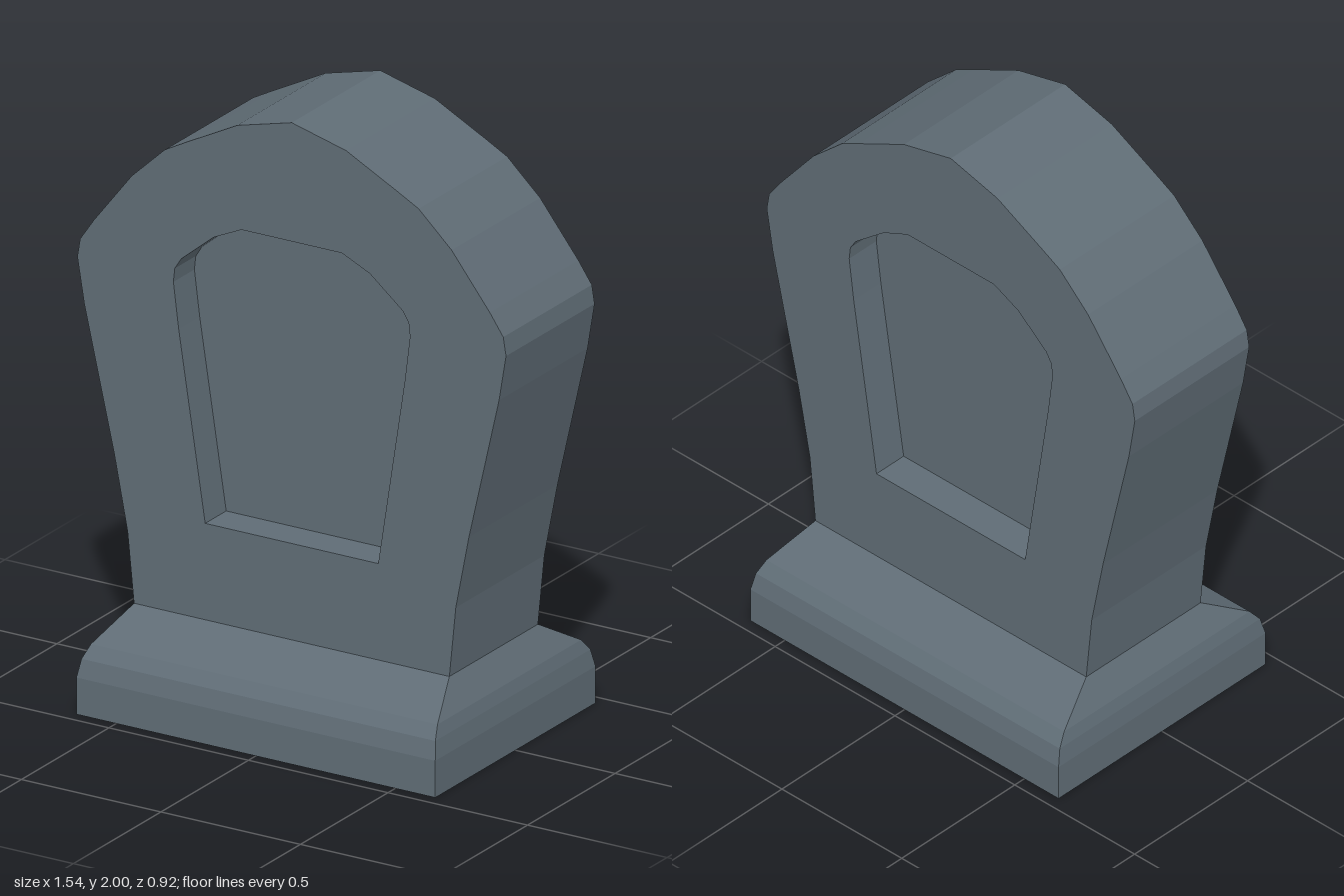
import * as THREE from 'three';

const material = new THREE.MeshStandardMaterial({ color: 0x5f6c75, flatShading: true });

// Right half of each outline, bottom to top; mirrored across x = 0
const SLAB = [[0.565, 0.31], [0.588, 0.54], [0.635, 0.78], [0.743, 1.25], [0.768, 1.4], [0.758, 1.46],
  [0.71, 1.53], [0.573, 1.705], [0.455, 1.815], [0.38, 1.855], [0.195, 1.95], [0, 2]];
const RECESS = [[0.31, 0.625], [0.405, 1.24], [0.424, 1.39], [0.419, 1.435], [0.397, 1.47],
  [0.28, 1.566], [0.18, 1.612]];
// Plinth rings: half width, height, half depth
const PLINTH = [[0.643, 0, 0.458], [0.643, 0.12, 0.458], [0.634, 0.178, 0.443],
  [0.621, 0.218, 0.41], [0.565, 0.31, 0.253]];
const HALF_DEPTH = 0.253;
const RECESS_DEPTH = 0.12;

function mirrored(half) {
  const left = half.filter(([x]) => x > 0).reverse().map(([x, y]) => [-x, y]);
  return [...half, ...left].map(([x, y]) => new THREE.Vector2(x, y));
}

function addMesh(parent, name, geometry) {
  const mesh = new THREE.Mesh(geometry, material);
  mesh.name = name;
  parent.add(mesh);
  return mesh;
}

// Stack of rectangular rings joined by quads, closed underneath
function plinthGeometry() {
  const positions = [];
  const index = [];
  for (const [w, y, d] of PLINTH) positions.push(-w, y, d, w, y, d, w, y, -d, -w, y, -d);
  for (let r = 0; r < PLINTH.length - 1; r++) {
    for (let i = 0; i < 4; i++) {
      const a = r * 4 + i, b = r * 4 + (i + 1) % 4;
      index.push(a, b, b + 4, a, b + 4, a + 4);
    }
  }
  index.push(0, 3, 2, 0, 2, 1);
  const indexed = new THREE.BufferGeometry();
  indexed.setAttribute('position', new THREE.Float32BufferAttribute(positions, 3));
  indexed.setIndex(index);
  const geometry = indexed.toNonIndexed();
  geometry.computeVertexNormals();
  return geometry;
}

export function createModel() {
  const group = new THREE.Group();
  group.name = 'headstone';

  addMesh(group, 'plinth', plinthGeometry());

  // Slab with an opening for the sunken panels
  const slab = new THREE.Shape(mirrored(SLAB));
  slab.holes.push(new THREE.Path(mirrored(RECESS)));
  const slabGeometry = new THREE.ExtrudeGeometry(slab, { depth: HALF_DEPTH * 2, bevelEnabled: false });
  slabGeometry.translate(0, 0, -HALF_DEPTH);
  addMesh(group, 'slab', slabGeometry);

  // Sunken panels on both faces
  const panelGeometry = new THREE.ShapeGeometry(new THREE.Shape(mirrored(RECESS)));
  for (const [name, side] of [['frontPanel', 1], ['backPanel', -1]]) {
    const panel = addMesh(group, name, panelGeometry);
    panel.position.z = side * (HALF_DEPTH - RECESS_DEPTH);
    if (side < 0) panel.rotation.y = Math.PI;
  }

  return group;
}
